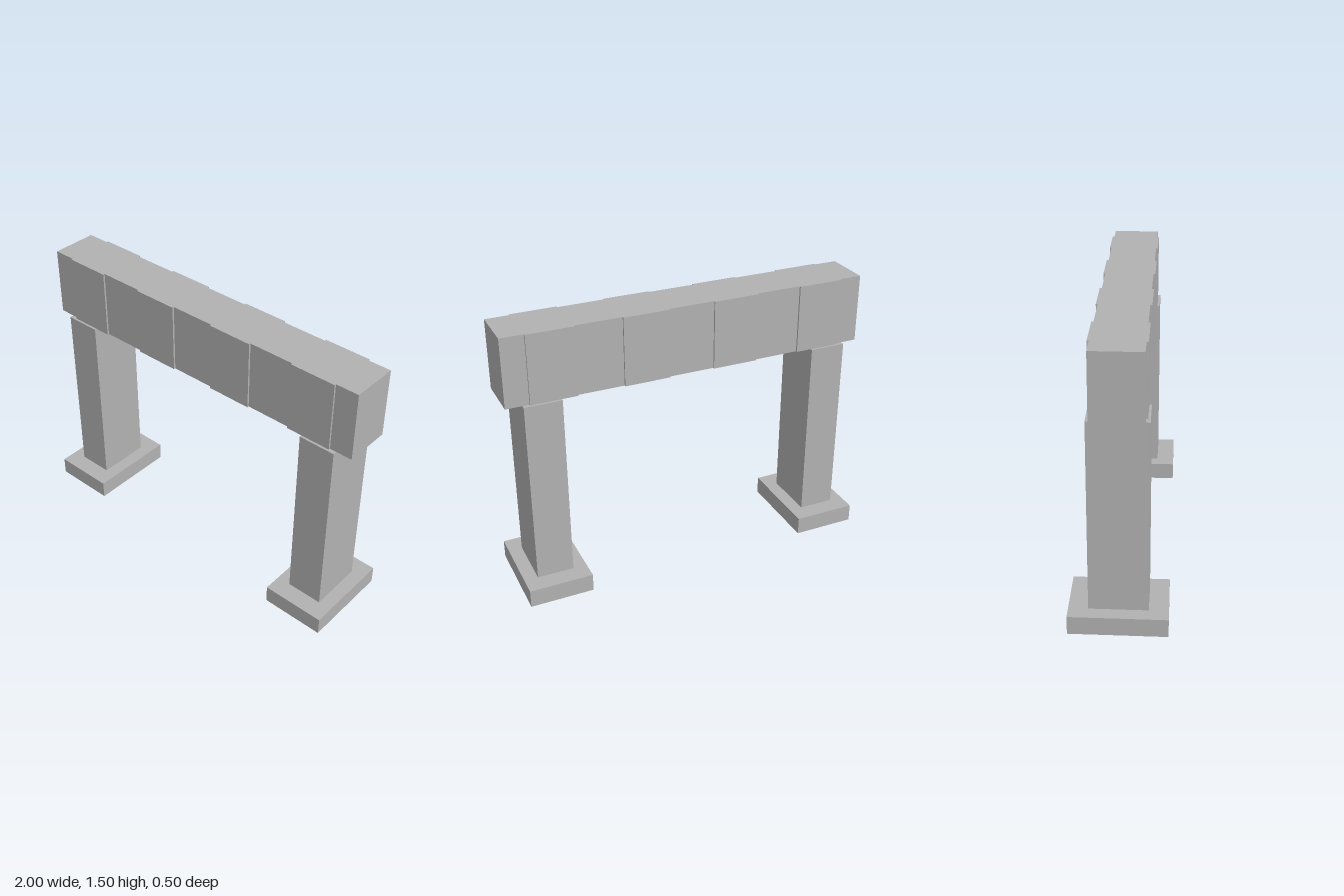
import * as THREE from 'three';

const concrete = new THREE.MeshStandardMaterial({ color: 0xb2b2b2 });
concrete.name = 'concrete grey';

// Box placed by its centre in x and z and by its underside in y
function block(name, width, height, depth, x, bottom, z = 0) {
  const mesh = new THREE.Mesh(new THREE.BoxGeometry(width, height, depth), concrete);
  mesh.name = name;
  mesh.position.set(x, bottom + height / 2, z);
  return mesh;
}

export function createModel() {
  const model = new THREE.Group();
  model.name = 'concretePortal';

  const footHeight = 0.1, beamBottom = 1.125, beamHeight = 0.375;
  const beamDepth = 0.255, panelThickness = 0.01;

  // Two columns on wide footings
  for (const side of [-1, 1]) {
    const support = new THREE.Group();
    support.name = side > 0 ? 'leftSupport' : 'rightSupport';
    support.add(
      block('footing', 0.35, footHeight, 0.5, side * 0.8125, 0),
      block('column', 0.2, beamBottom - footHeight, 0.3, side * 0.8125, footHeight)
    );
    model.add(support);
  }

  // Crossbeam with evenly spaced raised panels on front and back
  const beam = new THREE.Group();
  beam.name = 'crossbeam';
  beam.add(block('beamCore', 2, beamHeight, beamDepth, 0, beamBottom));
  for (const x of [-0.75, -0.25, 0.25, 0.75]) {
    for (const side of [-1, 1]) {
      const z = side * (beamDepth + panelThickness) / 2;
      beam.add(block(side > 0 ? 'frontPanel' : 'backPanel', 0.25, beamHeight, panelThickness, x, beamBottom, z));
    }
  }
  model.add(beam);
  return model;
}
